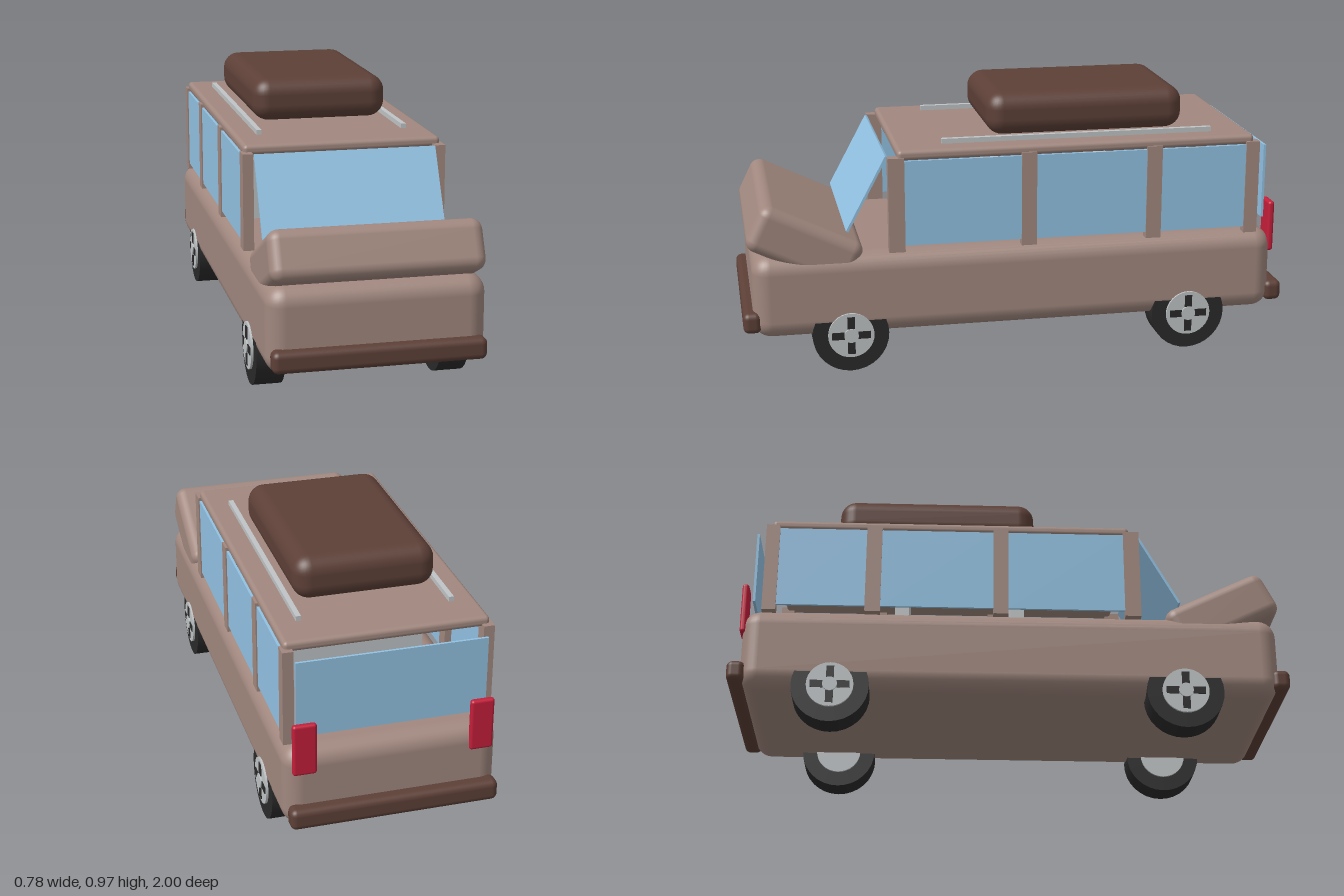
import * as THREE from 'three';
import { RoundedBoxGeometry } from 'three/addons/geometries/RoundedBoxGeometry.js';

const material = (name, color) => {
  const m = new THREE.MeshStandardMaterial({ color });
  m.name = name;
  return m;
};

export function createModel() {
  const paint = material('taupe paint', 0xa1887f);
  const brown = material('dark brown', 0x5d4037);
  const glass = material('blue glass', 0x92c2e3);
  const rubber = material('black rubber', 0x2a2a2a);
  const silver = material('silver', 0xc0c4c6);
  const red = material('red lamp', 0xc41e3a);

  const car = new THREE.Group();
  car.name = 'car';

  const add = (name, geometry, mat, x, y, z, parent = car) => {
    const mesh = new THREE.Mesh(geometry, mat);
    mesh.name = name;
    mesh.position.set(x, y, z);
    parent.add(mesh);
    return mesh;
  };
  const box = (name, mat, size, pos, parent) =>
    add(name, new THREE.BoxGeometry(...size), mat, ...pos, parent);
  const rounded = (name, mat, size, pos, radius) =>
    add(name, new RoundedBoxGeometry(...size, 4, radius), mat, ...pos);

  // Body shell, raised hood and roof
  rounded('body', paint, [0.75, 0.305, 1.918], [0, 0.284, 0.004], 0.065);
  rounded('hood', paint, [0.73, 0.177, 0.4], [0, 0.465, 0.772], 0.04).rotation.x = -0.455;
  rounded('roof', paint, [0.71, 0.037, 1.31], [0, 0.783, -0.215], 0.015);

  // Bumpers
  rounded('frontBumper', brown, [0.73, 0.076, 0.065], [0, 0.195, 0.967], 0.022);
  rounded('rearBumper', brown, [0.73, 0.076, 0.065], [0, 0.195, -0.967], 0.022);

  // Windscreen and rear window
  box('windscreen', glass, [0.65, 0.305, 0.009], [0, 0.642, 0.548]).rotation.x = -0.494;
  box('rearWindow', glass, [0.66, 0.275, 0.009], [0, 0.617, -0.922]);

  // Pillars, side windows, lamps and roof rails on both sides: [front z, rear z]
  const pillars = [[0.475, 0.417], [-0.005, -0.06], [-0.467, -0.523], [-0.84, -0.89]];
  for (const side of [-1, 1]) {
    pillars.forEach(([front, rear], i) => {
      box('pillar', paint, [0.038, 0.345, front - rear], [side * 0.345, 0.605, (front + rear) / 2]);
      if (i === 0) return;
      const start = pillars[i - 1][1];
      box('sideWindow', glass, [0.009, 0.31, start - front], [side * 0.355, 0.61, (start + front) / 2]);
    });
    rounded('tailLamp', red, [0.083, 0.19, 0.024], [side * 0.308, 0.445, -0.952], 0.01);
    box('roofRail', silver, [0.018, 0.018, 1], [side * 0.267, 0.81, -0.23]);
  }

  // Roof luggage
  rounded('luggage', brown, [0.5, 0.157, 0.73], [0, 0.887, -0.268], 0.06);

  // Seat backs and steering wheel
  for (const z of [0.03, -0.39]) {
    box('seatBack', silver, [0.56, 0.24, 0.05], [0, 0.54, z]);
  }
  const steering = add('steeringWheel', new THREE.TorusGeometry(0.085, 0.012, 8, 24), rubber, 0.16, 0.53, 0.4);
  steering.rotation.x = -0.45;

  // Wheels: tyre, through hub, four dark slots and a cap
  for (const side of [-1, 1]) {
    for (const z of [0.62, -0.632]) {
      const wheel = new THREE.Group();
      wheel.name = 'wheel';
      wheel.position.set(side * 0.324, 0.137, z);
      car.add(wheel);
      const disc = (name, mat, radius, width, x = 0) => {
        const mesh = add(name, new THREE.CylinderGeometry(radius, radius, width, 32), mat, x, 0, 0, wheel);
        mesh.rotation.z = Math.PI / 2;
      };
      disc('tyre', rubber, 0.137, 0.1);
      disc('hub', silver, 0.083, 0.116);
      disc('hubCap', silver, 0.026, 0.008, side * 0.06);
      for (let i = 0; i < 4; i++) {
        const a = (i * Math.PI) / 2;
        const slot = box('hubSlot', rubber, [0.006, 0.045, 0.027],
          [side * 0.058, 0.047 * Math.cos(a), 0.047 * Math.sin(a)], wheel);
        slot.rotation.x = a;
      }
    }
  }
  return car;
}
